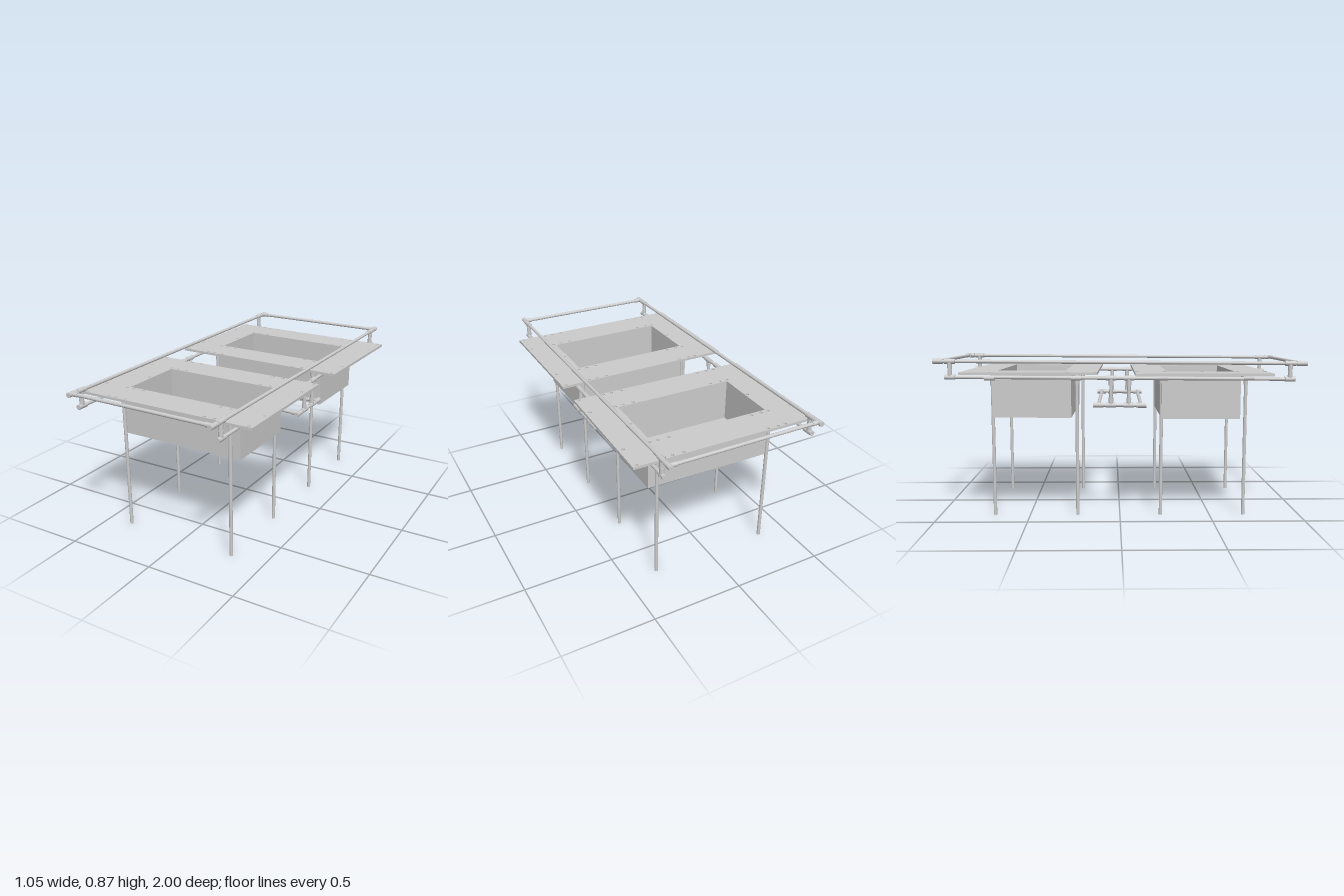
import * as THREE from 'three';

const TUBE_R = 0.0095, FIT_R = 0.0135;
const grey = new THREE.MeshStandardMaterial({ color: 0xcccccc });
const V = (x, y, z) => new THREE.Vector3(x, y, z);

// Round bar between two points
function bar(parent, name, a, b, r = TUBE_R) {
  const d = b.clone().sub(a);
  const m = new THREE.Mesh(new THREE.CylinderGeometry(r, r, d.length(), 16), grey);
  m.name = name;
  m.position.copy(a).add(b).multiplyScalar(0.5);
  m.quaternion.setFromUnitVectors(V(0, 1, 0), d.normalize());
  parent.add(m);
}

// Tee: sleeve along one tube plus a short socket toward the branch
function tee(parent, p, along, branch) {
  const h = along.clone().multiplyScalar(0.028);
  bar(parent, 'pipeFitting', p.clone().sub(h), p.clone().add(h), FIT_R);
  bar(parent, 'pipeFitting', p, p.clone().addScaledVector(branch, 0.04), FIT_R - 0.001);
}

function rect(target, hx, hy) {
  target.moveTo(-hx, -hy);
  target.lineTo(hx, -hy);
  target.lineTo(hx, hy);
  target.lineTo(-hx, hy);
  target.closePath();
  return target;
}

// Flat plate lying in xz, rising from y0 to y1
function plate(parent, name, shape, y0, y1) {
  const g = new THREE.ExtrudeGeometry(shape, { depth: y1 - y0, bevelEnabled: false, curveSegments: 6 });
  g.rotateX(-Math.PI / 2);
  g.translate(0, y0, 0);
  const m = new THREE.Mesh(g, grey);
  m.name = name;
  parent.add(m);
}

// Drilled table top with a recessed open basin
function tableTop() {
  const g = new THREE.Group();
  const top = rect(new THREE.Shape(), 0.513, 0.363);
  top.holes.push(rect(new THREE.Path(), 0.335, 0.184));
  const drill = (x, y) => top.holes.push(new THREE.Path().absarc(x, y, 0.009, 0, Math.PI * 2, true));
  for (const s of [-1, 1]) {
    drill(s * 0.35, 0);
    for (const y of [-0.35, -0.2, 0.2, 0.35])
      for (const x of [0.24, 0.3, 0.345, 0.487]) drill(s * x, y);
  }
  plate(g, 'tabletopPanel', top, -0.007, 0.007);

  const walls = rect(new THREE.Shape(), 0.361, 0.215);
  walls.holes.push(rect(new THREE.Path(), 0.335, 0.184));
  plate(g, 'basinWalls', walls, -0.228, -0.007);
  plate(g, 'basinFloor', rect(new THREE.Shape(), 0.361, 0.215), -0.25, -0.228);
  return g;
}

export function createModel() {
  const model = new THREE.Group();
  model.name = 'twinBasinTable';

  // Two table tops, set down slightly askew
  for (const [name, x, y, z, yaw] of [
    ['frontTableTop', -0.016, 0.792, 0.444, -0.003],
    ['backTableTop', 0.003, 0.798, -0.473, -0.021],
  ]) {
    const t = tableTop();
    t.name = name;
    t.position.set(x, y, z);
    t.rotation.y = yaw;
    model.add(t);
  }

  // Pipe frame, turned a little about y
  const frame = new THREE.Group();
  frame.name = 'pipeFrame';
  frame.position.x = -0.016;
  frame.rotation.y = -0.011;
  model.add(frame);
  const rails = new THREE.Group();
  rails.name = 'railFrame';
  rails.rotation.x = 0.006;
  frame.add(rails);

  const X = V(1, 0, 0), Y = V(0, 1, 0), Z = V(0, 0, 1);
  const RX = 0.419, TOP = 0.854, LOW = 0.77, DROP = 0.625;
  const neg = (v) => v.clone().negate();

  for (const s of [-1, 1]) {
    const x = s * RX, inward = V(-s, 0, 0);
    // Long rails and the drop link between the tables
    bar(rails, 'upperRail', V(x, TOP, -0.995), V(x, TOP, 0.995));
    bar(rails, 'lowerRail', V(x, LOW, -0.935), V(x, LOW, 0.935));
    bar(rails, 'dropLinkBar', V(x, DROP, -0.14), V(x, DROP, 0.14));
    for (const e of [-1, 1]) {
      // Corner posts and end joints
      bar(rails, 'railPost', V(x, LOW, e * 0.907), V(x, TOP, e * 0.907));
      tee(rails, V(x, TOP, e * 0.907), Z, neg(Y));
      tee(rails, V(x, LOW, e * 0.907), Z, Y);
      tee(rails, V(x, TOP, e * 0.969), Z, inward);
      // Drop posts
      bar(rails, 'dropPost', V(x, DROP, e * 0.048), V(x, LOW, e * 0.048));
      tee(rails, V(x, LOW, e * 0.048), Z, neg(Y));
      tee(rails, V(x, DROP, e * 0.048), Z, Y);
      tee(rails, V(x, DROP, e * 0.115), Z, inward);
    }
  }
  for (const e of [-1, 1]) {
    bar(rails, 'endRail', V(-RX, TOP, e * 0.969), V(RX, TOP, e * 0.969));
    bar(rails, 'dropCrossBar', V(-RX, DROP, e * 0.115), V(RX, DROP, e * 0.115));
  }

  // Leg pairs, each joined by a cross tube resting between the rails
  for (const z of [-0.692, -0.231, 0.231, 0.692]) {
    bar(frame, 'legCrossBar', V(-RX, LOW, z), V(RX, LOW, z));
    for (const s of [-1, 1]) {
      bar(frame, 'leg', V(s * 0.332, 0, z), V(s * 0.332, LOW, z));
      tee(frame, V(s * 0.332, LOW, z), X, neg(Y));
      tee(frame, V(s * RX, LOW, z), Z, V(-s, 0, 0));
    }
  }
  return model;
}
